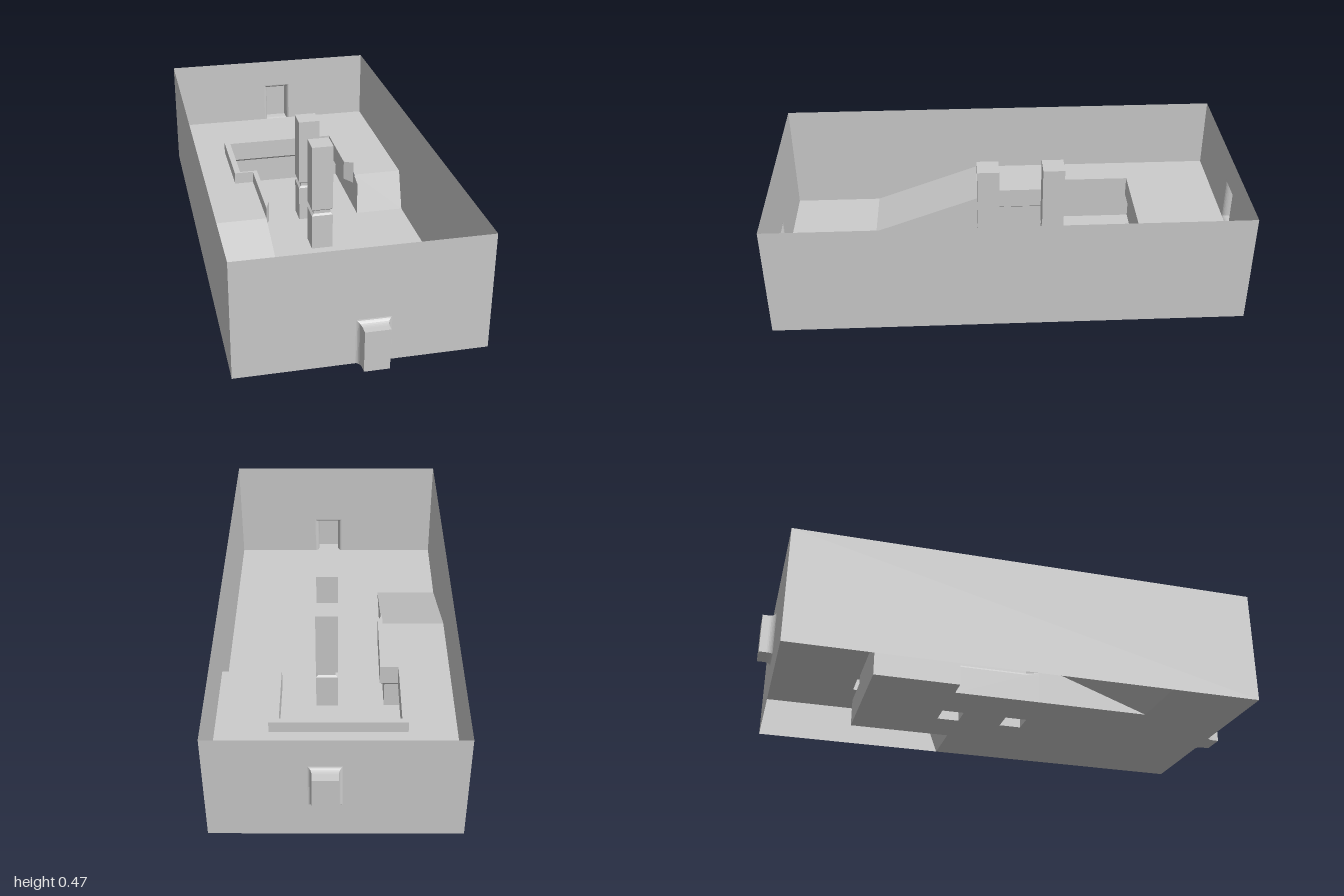
import * as THREE from 'three';

const mat = new THREE.MeshStandardMaterial({ color: 0xcccccc, flatShading: true, side: THREE.DoubleSide });
const W = 0.47, L = 0.945, H = 0.47, P = 0.165; // half width, half length, wall height, platform height

// Sheet lofted between rows of [x, y, z] points
function sheet(name, rows) {
  const pos = [];
  for (let i = 0; i < rows.length - 1; i++) {
    for (let j = 0; j < rows[i].length - 1; j++) {
      const a = rows[i][j], b = rows[i][j + 1], c = rows[i + 1][j + 1], d = rows[i + 1][j];
      pos.push(...a, ...b, ...c, ...a, ...c, ...d);
    }
  }
  const g = new THREE.BufferGeometry();
  g.setAttribute('position', new THREE.Float32BufferAttribute(pos, 3));
  g.computeVertexNormals();
  return named(name, g);
}

function named(name, geometry) {
  const m = new THREE.Mesh(geometry, mat);
  m.name = name;
  return m;
}

const loop = (pts) => pts.map(([x, y]) => new THREE.Vector2(x, y));
const rect = (x0, x1, y0, y1) => [[x0, y0], [x1, y0], [x1, y1], [x0, y1]];

function flat(pts, holes = []) {
  const s = new THREE.Shape(loop(pts));
  holes.forEach((h) => s.holes.push(new THREE.Path(loop(h))));
  return new THREE.ShapeGeometry(s);
}

// Horizontal surface from [x, z] points
function level(name, pts, y, holes = []) {
  const flip = (p) => p.map(([x, z]) => [x, -z]);
  return named(name, flat(flip(pts), holes.map(flip)).rotateX(-Math.PI / 2).translate(0, y, 0));
}

// Doorway recess whose mouth flares in a concave curve into the wall
function doorway(name, y0, dir, flare, reach, sill) {
  const rows = [];
  const ring = (g, d) => {
    const z = dir * (L + d), b = y0 - (sill ? g * 0.8 : 0);
    return [...rect(-0.01 - g, 0.085 + g, b, y0 + 0.165 + g), [-0.01 - g, b]].map(([x, y]) => [x, y, z]);
  };
  for (let i = 0; i <= 6; i++) {
    const t = (i / 6) * Math.PI / 2;
    rows.push(ring(flare * (1 - Math.sin(t)), reach * (1 - Math.cos(t))));
  }
  rows.push(ring(0, 1 - L));
  const group = new THREE.Group();
  group.name = name;
  const end = named(name + 'End', flat(rect(-0.01, 0.085, y0, y0 + 0.165)));
  end.position.z = dir;
  group.add(sheet(name + 'Frame', rows), end);
  return group;
}

function pillar(z) {
  const group = new THREE.Group();
  group.name = 'pillar';
  const c = 0.0375;
  const ring = (r, y) => [[-r, -r], [r, -r], [r, r], [-r, r], [-r, -r]].map(([x, d]) => [c + x, y, z + d]);
  const profile = [[0.045, 0], [0.045, 0.155], [0.036, 0.162], [0.036, 0.176], [0.045, 0.183], [0.045, H]];
  group.add(sheet('pillarShaft', profile.map(([r, y]) => ring(r, y))));
  group.add(level('pillarTop', rect(c - 0.045, c + 0.045, z - 0.045, z + 0.045), H));
  return group;
}

export function createModel() {
  const model = new THREE.Group();

  // Outer walls
  for (const s of [-1, 1]) {
    model.add(sheet('sideWall', [[[s * W, 0, L], [s * W, 0, -L]], [[s * W, H, L], [s * W, H, -L]]]));
  }
  const front = named('frontWall', flat([[-W, 0], [-0.028, 0], [-0.028, 0.183], [0.103, 0.183],
    [0.103, 0], [W, 0], [W, H], [-W, H]]));
  front.position.z = L;
  const back = named('backWall', flat(rect(-W, W, 0, H), [rect(-0.025, 0.1, 0.153, 0.345)]));
  back.position.z = -L;
  model.add(front, back);
  model.add(doorway('frontDoorway', 0, 1, 0.018, 0.03, false));
  model.add(doorway('backDoorway', P, -1, 0.015, 0.025, true));

  // Lower floor, open beneath the platform, ramps and pillars
  const pillarZ = [-0.2, 0.07];
  model.add(level('floor', [[-W, L], [W, L], [W, -0.16], [0.26, -0.16], [0.26, -0.58], [-0.28, -0.58],
    [-0.28, -0.24], [-0.2, -0.24], [-0.2, 0.57], [-W, 0.57]], 0,
    pillarZ.map((z) => rect(-0.0075, 0.0825, z - 0.045, z + 0.045))));
  pillarZ.forEach((z) => model.add(pillar(z)));

  // Raised platform around the sunken area
  model.add(level('platform', [[-W, -L], [W, -L], [W, -0.22], [0.26, -0.22], [0.26, -0.58], [-0.28, -0.58],
    [-0.28, -0.24], [-0.2, -0.24], [-0.2, 0.11], [-W, 0.11]], P));

  // Ramps and their side walls
  model.add(sheet('longRamp', [[[-W, P, 0.11], [-0.2, P, 0.11]], [[-W, 0, 0.57], [-0.2, 0, 0.57]]]));
  model.add(sheet('longRampSide', [[[-0.2, 0, 0.11], [-0.2, 0, 0.57]], [[-0.2, P, 0.11], [-0.2, 0, 0.57]]]));
  model.add(sheet('shortRamp', [[[0.26, P, -0.22], [W, P, -0.22]], [[0.26, 0, -0.16], [W, 0, -0.16]]]));
  model.add(sheet('shortRampSide', [[[0.26, 0, -0.24], [0.26, 0, -0.16]], [[0.26, P, -0.24], [0.26, 0.145, -0.16]]]));

  // Retaining wall with an overhanging parapet: [outer x, outer z, inner x, inner z]
  const path = [[0.26, -0.24, 0.26, -0.24], [0.26, -0.26, 0.22, -0.26], [0.26, -0.58, 0.22, -0.56],
    [-0.28, -0.58, -0.255, -0.56], [-0.28, -0.24, -0.255, -0.25], [-0.2, -0.24, -0.18, -0.25],
    [-0.2, 0.06, -0.18, 0.06], [-0.2, 0.11, -0.2, 0.11]];
  const outer = (y) => path.map(([x, z]) => [x, y, z]);
  const inner = (y) => path.map(([, , x, z]) => [x, y, z]);
  model.add(sheet('retainingWall', [outer(0), outer(0.115)]));
  model.add(sheet('parapet', [outer(0.115), inner(0.13), inner(0.215), outer(0.215), outer(P)]));
  return model;
}
